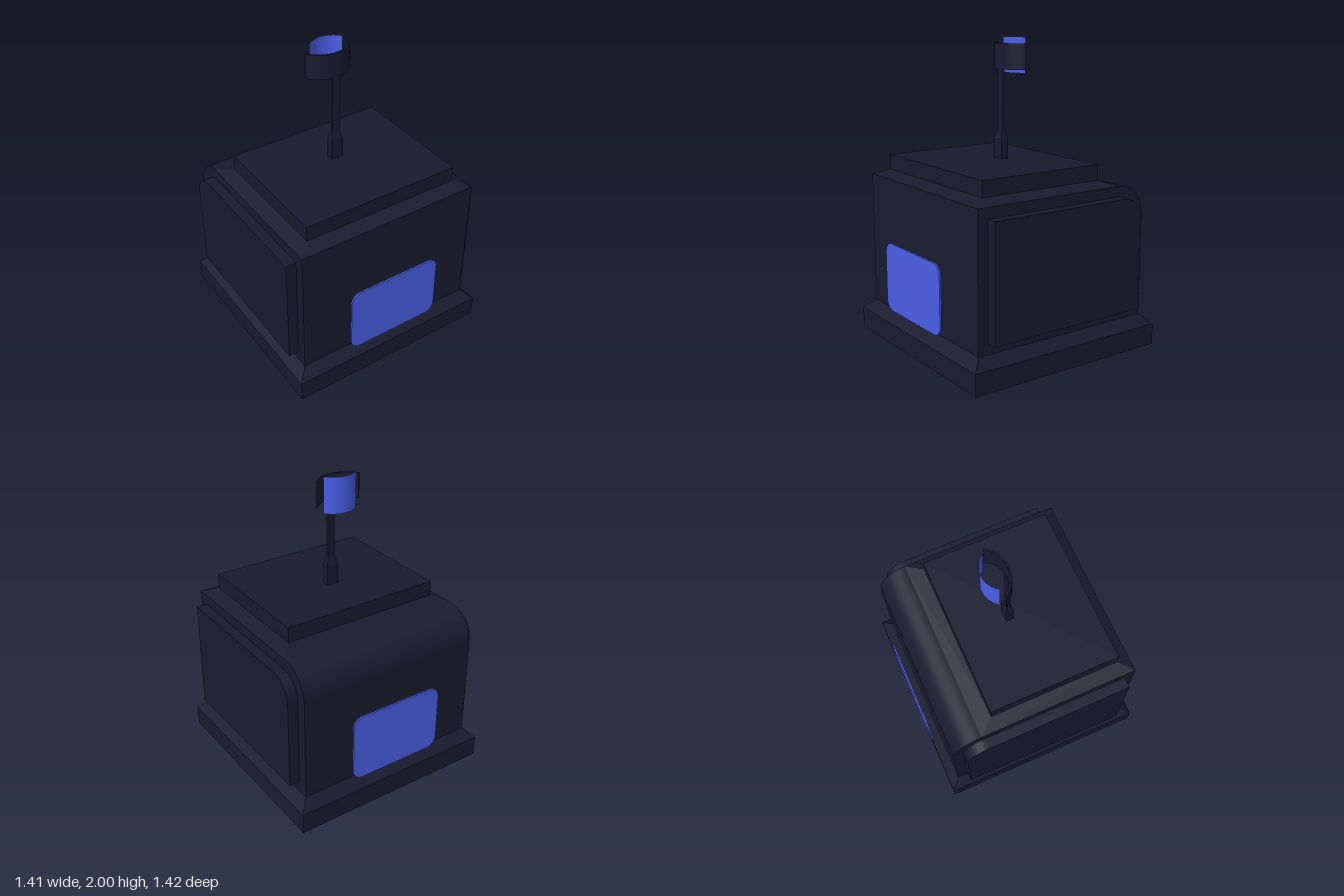
import * as THREE from 'three';
import { toCreasedNormals } from 'three/addons/utils/BufferGeometryUtils.js';

const dark = new THREE.MeshStandardMaterial({ color: 0x171b2e });
const blue = new THREE.MeshStandardMaterial({ color: 0x4a5ee6 });
const blueSheet = new THREE.MeshStandardMaterial({ color: 0x4a5ee6, side: THREE.DoubleSide });

function add(group, name, geometry, material = dark) {
  const mesh = new THREE.Mesh(geometry, material);
  mesh.name = name;
  group.add(mesh);
  return mesh;
}

// Block between two rectangles given as [y, halfWidth, zBack, zFront]
function block(bottom, top) {
  const g = new THREE.BoxGeometry(1, 1, 1);
  const p = g.attributes.position;
  for (let i = 0; i < p.count; i++) {
    const [y, w, z0, z1] = p.getY(i) > 0 ? top : bottom;
    p.setXYZ(i, p.getX(i) > 0 ? w : -w, y, p.getZ(i) > 0 ? z1 : z0);
  }
  const flat = g.toNonIndexed();
  flat.computeVertexNormals();
  return flat;
}

// Side profile with a rounded upper back corner, extruded across x
function profileBlock(zBack, zFront, y0, y1, radius, x0, x1) {
  const s = new THREE.Shape();
  s.moveTo(zBack, y0);
  s.lineTo(zFront, y0);
  s.lineTo(zFront, y1);
  s.lineTo(zBack + radius, y1);
  s.absarc(zBack + radius, y1 - radius, radius, Math.PI / 2, Math.PI, false);
  s.closePath();
  const g = new THREE.ExtrudeGeometry(s, { depth: x1 - x0, bevelEnabled: false, curveSegments: 16 });
  g.rotateY(-Math.PI / 2);
  g.translate(x1, 0, 0);
  return toCreasedNormals(g, 0.5);
}

// Rounded rectangle plate centred on x
function plate(w, y0, y1, r, depth) {
  const s = new THREE.Shape();
  s.absarc(w - r, y0 + r, r, -Math.PI / 2, 0);
  s.absarc(w - r, y1 - r, r, 0, Math.PI / 2);
  s.absarc(-w + r, y1 - r, r, Math.PI / 2, Math.PI);
  s.absarc(-w + r, y0 + r, r, Math.PI, Math.PI * 1.5);
  s.closePath();
  const g = new THREE.ExtrudeGeometry(s, { depth, bevelEnabled: false, curveSegments: 8 });
  return toCreasedNormals(g, 0.5);
}

// Circle radius through an arc of given half width and rise
const arcRadius = (half, rise) => (half * half + rise * rise) / (2 * rise);

export function createModel() {
  const model = new THREE.Group();
  model.name = 'pedestalBox';

  // Plinth with chamfered top
  add(model, 'plinth', block([0, 0.703, -0.703, 0.703], [0.14, 0.703, -0.703, 0.703]));
  add(model, 'plinthChamfer', block([0.14, 0.703, -0.703, 0.703], [0.205, 0.635, -0.635, 0.635]));

  // Body, rounded at the upper back
  add(model, 'body', profileBlock(-0.635, 0.635, 0.205, 1.09, 0.2, -0.635, 0.635));

  // Raised side panels
  add(model, 'leftPanel', profileBlock(-0.565, 0.568, 0.275, 1.02, 0.15, 0.635, 0.705));
  add(model, 'rightPanel', profileBlock(-0.565, 0.568, 0.275, 1.02, 0.15, -0.705, -0.635));

  // Sloped shoulder and lid
  add(model, 'shoulder', block([1.09, 0.635, -0.435, 0.635], [1.125, 0.545, -0.33, 0.545]));
  add(model, 'lid', block([1.125, 0.545, -0.33, 0.545], [1.226, 0.545, -0.33, 0.545]));

  // Floating plates at front and back
  const plateGeometry = plate(0.33, 0.242, 0.698, 0.07, 0.012);
  add(model, 'frontPlate', plateGeometry, blue).position.z = 0.697;
  add(model, 'backPlate', plateGeometry, blue).position.z = -0.709;

  // Mast: foot, taper and stem
  add(model, 'mastFoot', block([1.226, 0.042, 0, 0.05], [1.36, 0.042, 0, 0.05]));
  add(model, 'mastTaper', block([1.36, 0.042, 0, 0.05], [1.415, 0.025, 0.016, 0.035]));
  add(model, 'mastStem', block([1.415, 0.025, 0.016, 0.035], [1.81, 0.025, 0.016, 0.035]));

  // Curved shield bulging forward
  const half = 0.16, rise = 0.09, t = 0.012;
  const R = arcRadius(half, rise), a = Math.asin(half / R);
  const s = new THREE.Shape();
  s.absarc(0, 0, R, -Math.PI / 2 - a, -Math.PI / 2 + a, false);
  s.absarc(0, 0, R - t, -Math.PI / 2 + a, -Math.PI / 2 - a, true);
  s.closePath();
  const shield = new THREE.ExtrudeGeometry(s, { depth: 0.165, bevelEnabled: false, curveSegments: 20 });
  shield.rotateX(-Math.PI / 2);
  add(model, 'shield', toCreasedNormals(shield, 0.5)).position.set(0, 1.8, 0.035 - R);

  // Curved screen bulging backward
  const r = arcRadius(0.12, 0.065), b = Math.asin(0.12 / r);
  const screen = new THREE.CylinderGeometry(r, r, 0.235, 20, 1, true, Math.PI - b, 2 * b);
  add(model, 'screen', screen, blueSheet).position.set(0, 1.8825, -0.14 + r);

  return model;
}
